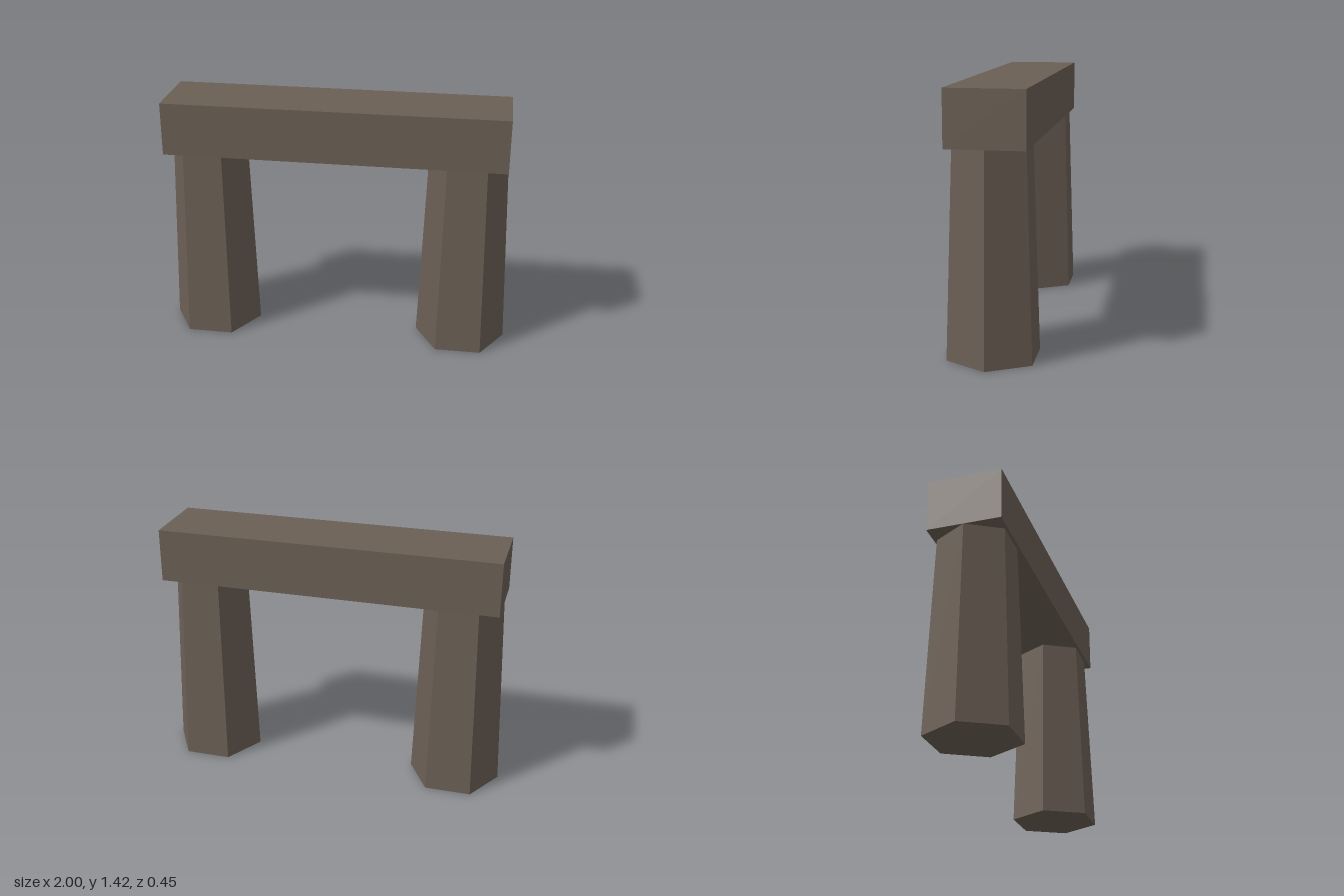
import * as THREE from 'three';

export function createModel() {
  const group = new THREE.Group();
  const stone = new THREE.MeshStandardMaterial({ color: 0x6b5f54, flatShading: true });

  // Tapered hexagonal pillars, one corner pointing outwards along x
  const pillarHeight = 1.12;
  const pillarGeometry = new THREE.CylinderGeometry(0.22, 0.26, pillarHeight, 6, 1, false, Math.PI / 2);
  for (const [name, side] of [['leftPillar', 1], ['rightPillar', -1]]) {
    const pillar = new THREE.Mesh(pillarGeometry, stone);
    pillar.name = name;
    pillar.position.set(side * 0.74, pillarHeight / 2, 0);
    group.add(pillar);
  }

  // Lintel slab resting on the pillars
  const lintelHeight = 0.3;
  const lintel = new THREE.Mesh(new THREE.BoxGeometry(1.92, lintelHeight, 0.415), stone);
  lintel.name = 'lintel';
  lintel.position.y = pillarHeight + lintelHeight / 2;
  group.add(lintel);

  return group;
}
